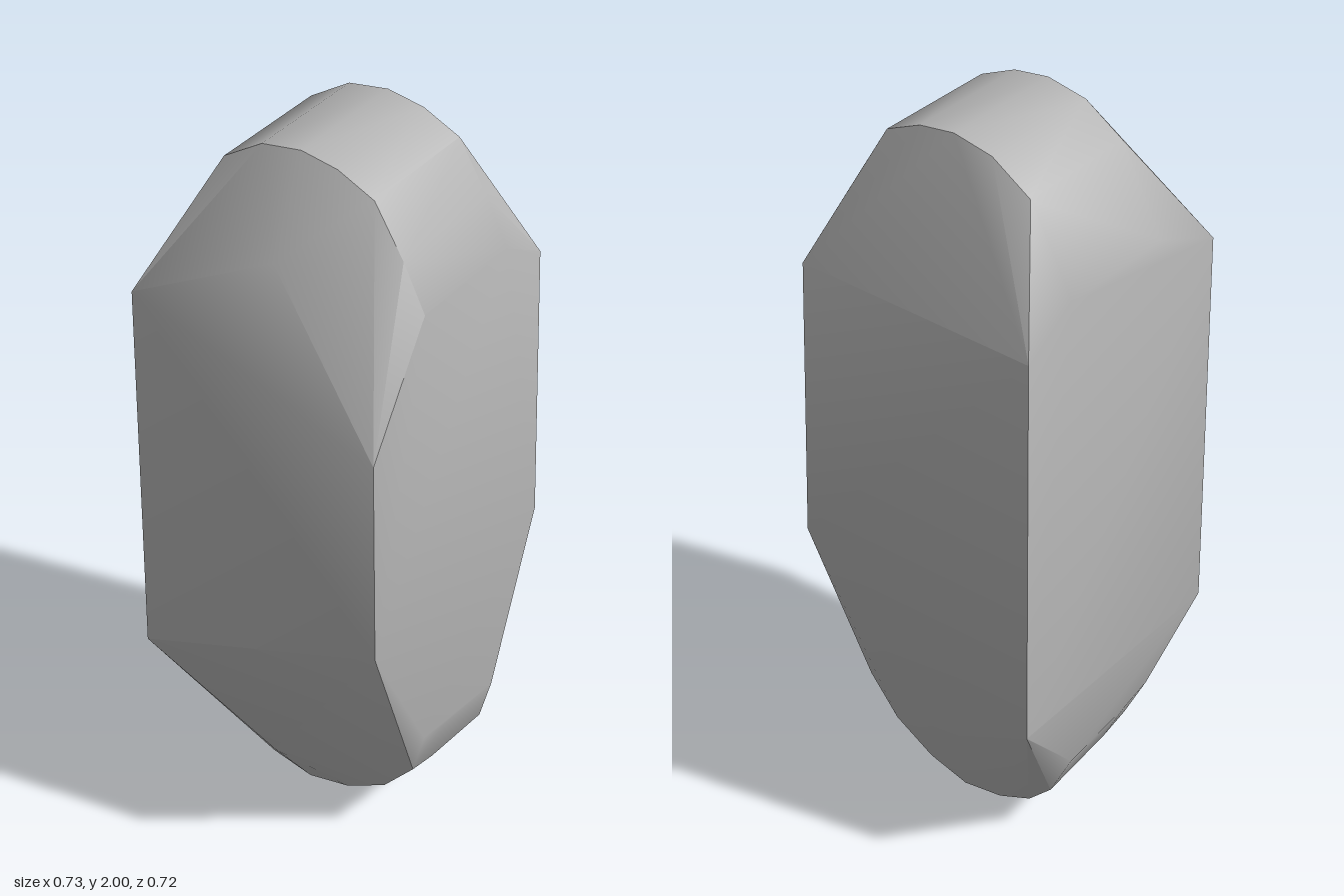
import * as THREE from 'three';
import { ConvexGeometry } from 'three/addons/geometries/ConvexGeometry.js';
import { toCreasedNormals } from 'three/addons/utils/BufferGeometryUtils.js';

// Rounded ends of the central band, as [z, y]
const topArc = [[-0.34, 1.69], [-0.29, 1.78], [-0.22, 1.91], [-0.11, 1.98], [0, 2],
  [0.1, 1.985], [0.2, 1.94], [0.28, 1.81], [0.34, 1.69]];
const bottomArc = [[-0.355, 0.29], [-0.29, 0.15], [-0.22, 0.075], [-0.12, 0.025], [0, 0],
  [0.12, 0.03], [0.24, 0.1], [0.33, 0.21], [0.362, 0.34]];

// Outer corners of the two bevelled ends, as [x, y, z]
const corners = [
  [0.335, 1.6, 0.34], [0.335, 1.6, -0.34], [0.355, 0.81, 0.355], [0.36, 0.51, -0.362],
  [-0.365, 1.39, 0.345], [-0.365, 1.6, -0.345], [-0.365, 0.81, 0.355], [-0.365, 0.51, -0.362],
];

// Shallow peaks where the end bevels bulge
const peaks = [[-0.31, 1.79, 0.03], [-0.305, 0.27, 0], [0.275, 0.25, 0]];

export function createModel() {
  const stone = new THREE.MeshStandardMaterial({ color: 0xb4b4b4 });
  stone.name = 'stone grey';

  const points = [...corners, ...peaks].map((p) => new THREE.Vector3(...p));
  const addArc = (arc, x, lift = 0) =>
    arc.forEach(([z, y]) => points.push(new THREE.Vector3(x, y + lift, z)));

  // Band edges; the underside rises a little toward the -x end
  addArc(topArc, 0.18);
  addArc(topArc, -0.16);
  addArc(bottomArc, 0.168);
  addArc(bottomArc, -0.06, 0.028);
  addArc(bottomArc, -0.15, 0.05);

  const geometry = toCreasedNormals(new ConvexGeometry(points), 0.6);
  const body = new THREE.Mesh(geometry, stone);
  body.name = 'bevelledStone';

  const group = new THREE.Group();
  group.name = 'standingStone';
  group.add(body);
  return group;
}
